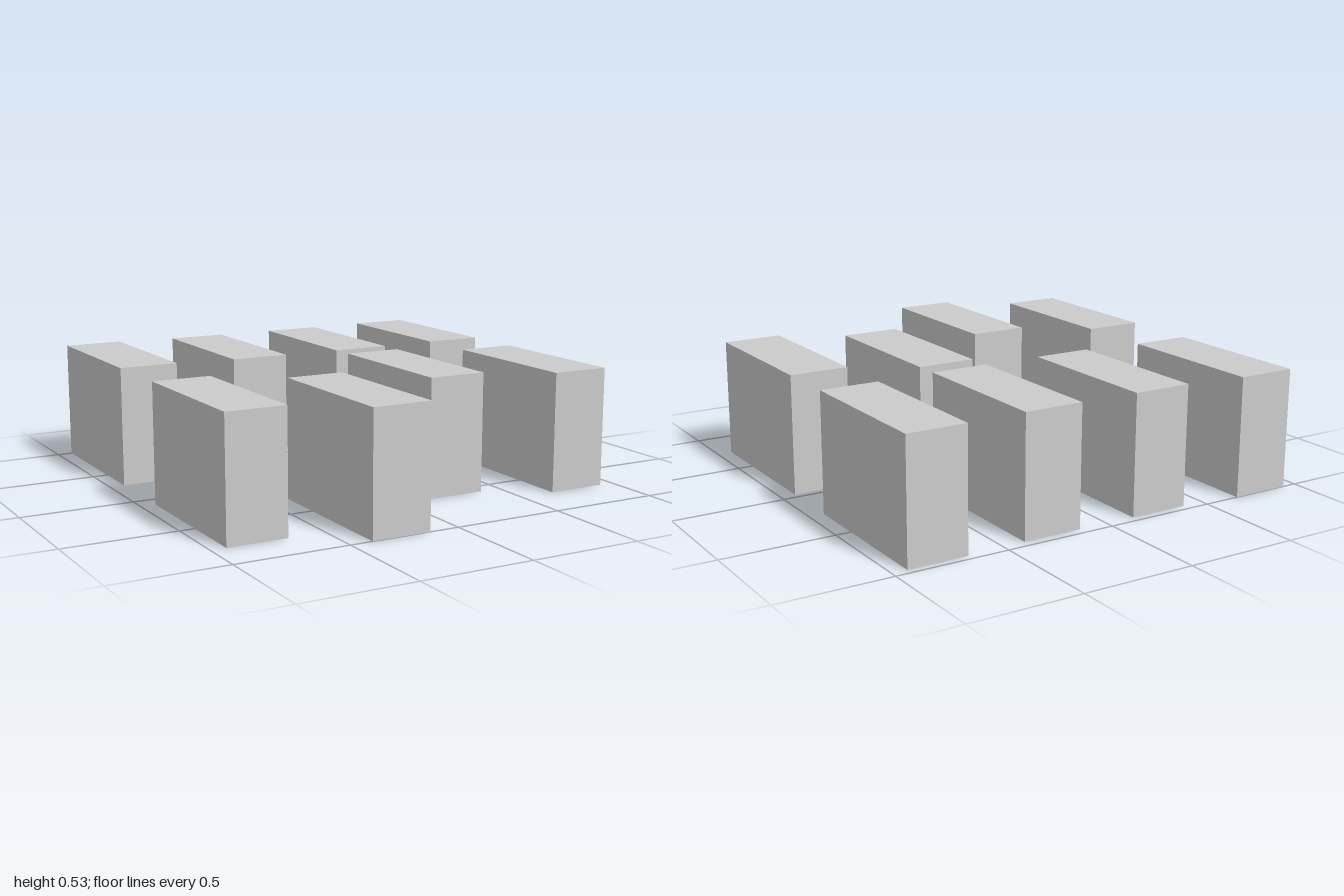
import * as THREE from 'three';

const WIDTH = 0.267, HEIGHT = 0.533, DEPTH = 0.717;

// Four columns across x, each with a back and a front block staggered in z
const COLUMNS = [
  { x: -0.8, back: -0.642, front: 0.442 },
  { x: -0.267, back: -0.606, front: 0.642 },
  { x: 0.267, back: -0.602, front: 0.225 },
  { x: 0.8, back: -0.611, front: 0.391 },
];

export function createModel() {
  const model = new THREE.Group();
  model.name = 'blocks';
  const material = new THREE.MeshStandardMaterial({ color: 0xcccccc });
  const geometry = new THREE.BoxGeometry(WIDTH, HEIGHT, DEPTH);

  COLUMNS.forEach((column, i) => {
    for (const row of ['back', 'front']) {
      const block = new THREE.Mesh(geometry, material);
      block.name = `${row}Block${i + 1}`;
      block.position.set(column.x, HEIGHT / 2, column[row]);
      model.add(block);
    }
  });
  return model;
}
